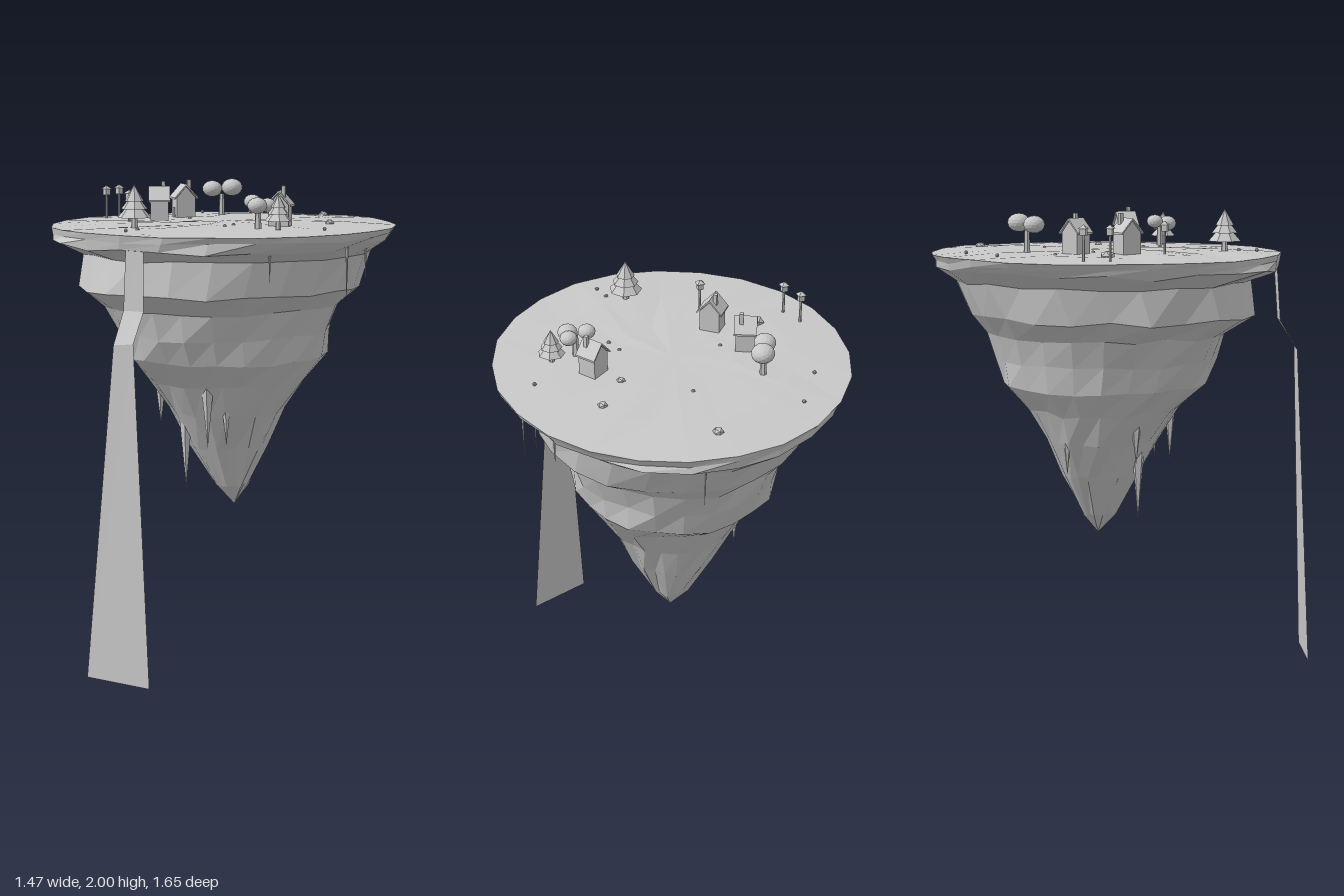
import * as THREE from 'three';

const grey = new THREE.MeshStandardMaterial({ color: 0xc8c8c8 });
grey.name = 'pale grey';
grey.side = THREE.DoubleSide;

// Seeded jitter in -1..1
let seed = 7;
const jitter = () => {
  seed = (seed * 16807) % 2147483647;
  return (seed / 2147483647) * 2 - 1;
};

// Faceted mesh with hard edges
function part(name, geometry, x = 0, y = 0, z = 0) {
  const g = geometry.index ? geometry.toNonIndexed() : geometry;
  g.computeVertexNormals();
  const mesh = new THREE.Mesh(g, grey);
  mesh.name = name;
  mesh.position.set(x, y, z);
  return mesh;
}

function group(name, x, y, z, ...children) {
  const g = new THREE.Group();
  g.name = name;
  g.position.set(x, y, z);
  if (children.length) g.add(...children);
  return g;
}

// Skin through rings of equal point counts, listed from the top down
function skin(rings, closed) {
  const n = rings[0].length, index = [];
  for (let r = 0; r < rings.length - 1; r++)
    for (let i = 0; i < (closed ? n : n - 1); i++) {
      const j = (i + 1) % n, u = r * n, l = u + n;
      index.push(l + i, l + j, u + j, l + i, u + j, u + i);
    }
  const g = new THREE.BufferGeometry();
  g.setAttribute('position', new THREE.Float32BufferAttribute(rings.flat(2), 3));
  g.setIndex(index);
  return g;
}

// Floating rock: y, x radius, z radius, x centre, z centre, radius jitter, height jitter
function island() {
  const levels = [
    [1.826, 0, 0, 0, -0.07, 0, 0],
    [1.826, 0.25, 0.25, 0, -0.07, 0.02, 0.003],
    [1.822, 0.5, 0.52, 0, -0.07, 0.03, 0.004],
    [1.812, 0.733, 0.757, 0, -0.065, 0.004, 0.003],
    [1.785, 0.715, 0.755, 0, -0.062, 0.012, 0.006],
    [1.752, 0.685, 0.755, 0, -0.06, 0.025, 0.013],
    [1.7, 0.585, 0.65, 0, -0.09, 0.02, 0.008],
    [1.555, 0.57, 0.615, 0.005, -0.035, 0.03, 0.01],
    [1.475, 0.485, 0.525, -0.005, -0.065, 0.03, 0.01],
    [1.36, 0.44, 0.485, 0, -0.07, 0.03, 0.008],
    [1.25, 0.43, 0.45, -0.005, -0.075, 0.035, 0.01],
    [1.14, 0.35, 0.325, -0.005, -0.07, 0.04, 0.012],
    [1.0, 0.275, 0.245, -0.01, -0.08, 0.05, 0.012],
    [0.84, 0.185, 0.165, -0.005, -0.09, 0.06, 0.012],
    [0.66, 0.085, 0.075, 0.01, -0.1, 0.06, 0.012],
    [0.56, 0, 0, 0.02, -0.11, 0, 0],
  ];
  const rings = levels.map(([y, rx, rz, cx, cz, jr, jy]) =>
    Array.from({ length: 24 }, (_, i) => {
      const a = (i / 24) * Math.PI * 2, s = 1 + jr * jitter();
      return [cx + Math.sin(a) * rx * s, y + jy * jitter(), cz + Math.cos(a) * rz * s];
    }));
  return part('island', skin(rings, true));
}

// Ribbon of water spilling over the rim
function waterfall() {
  return part('waterfall', skin([
    [[0.195, 1.816, 0.6], [0.27, 1.816, 0.57]],
    [[0.205, 1.8, 0.645], [0.28, 1.8, 0.615]],
    [[0.21, 1.515, 0.665], [0.298, 1.515, 0.633]],
    [[0.235, 1.385, 0.738], [0.32, 1.395, 0.705]],
    [[0.152, 0, 0.828], [0.435, 0, 0.73]],
  ], false));
}

// Downward spike
function spike(name, x, top, tip, z, r) {
  const h = top - tip;
  return part(name, new THREE.ConeGeometry(r, h, 5).rotateX(Math.PI), x, top - h / 2, z);
}

// Gabled cottage, ridge along local x
function house(x, z, turn) {
  const gable = new THREE.Shape([
    [-0.043, 0], [0.043, 0], [0.043, 0.09], [0, 0.138], [-0.043, 0.09],
  ].map(([a, b]) => new THREE.Vector2(a, b)));
  const walls = new THREE.ExtrudeGeometry(gable, { depth: 0.08, bevelEnabled: false });
  walls.translate(0, 0, -0.04).rotateY(Math.PI / 2);
  const roof = new THREE.Shape([
    [-0.054, 0.083], [0, 0.141], [0.054, 0.083], [0.054, 0.091], [0, 0.15], [-0.054, 0.091],
  ].map(([a, b]) => new THREE.Vector2(a, b)));
  const slopes = new THREE.ExtrudeGeometry(roof, { depth: 0.094, bevelEnabled: false });
  slopes.translate(0, 0, -0.047).rotateY(Math.PI / 2);
  const g = group('house', x, 1.822, z,
    part('walls', walls),
    part('roof', slopes),
    part('chimney', new THREE.BoxGeometry(0.016, 0.055, 0.016), 0.018, 0.142, -0.018),
    part('door', new THREE.BoxGeometry(0.022, 0.045, 0.004), 0, 0.024, 0.044));
  g.rotation.y = turn;
  return g;
}

// Pine with three stacked tiers
function pine(x, z, s) {
  const g = group('pine', x, 1.822, z,
    part('trunk', new THREE.CylinderGeometry(0.012, 0.015, 0.06, 6), 0, 0.03, 0));
  [[0.071, 0.08, 0.045], [0.056, 0.07, 0.08], [0.04, 0.068, 0.112]].forEach(([r, h, y]) =>
    g.add(part('foliage', new THREE.ConeGeometry(r, h, 7), 0, y + h / 2, 0)));
  g.scale.setScalar(s);
  return g;
}

// Leafy tree: trunk plus ball crowns [x, y, z, r]
function leafyTree(x, z, crowns) {
  const g = group('leafyTree', 0, 0, 0,
    part('trunk', new THREE.CylinderGeometry(0.011, 0.015, 0.1, 6), x, 1.87, z));
  crowns.forEach(([cx, cy, cz, r]) =>
    g.add(part('crown', new THREE.IcosahedronGeometry(r, 2).scale(1, 0.82, 1), cx, cy, cz)));
  return g;
}

// Lantern on a post
function lamp(x, z) {
  return group('lamp', x, 1.815, z,
    part('post', new THREE.CylinderGeometry(0.005, 0.006, 0.11, 6), 0, 0.055, 0),
    part('lantern', new THREE.BoxGeometry(0.024, 0.028, 0.024), 0, 0.118, 0),
    part('cap', new THREE.ConeGeometry(0.025, 0.016, 4).rotateY(Math.PI / 4), 0, 0.139, 0));
}

export function createModel() {
  seed = 7;
  const model = group('floatingIsland', 0, 0, 0, island(), waterfall());

  // Stalactites and hanging roots
  [[-0.065, 1.02, 0.65, 0.1, 0.035], [-0.26, 1.13, 0.87, -0.16, 0.03],
    [0.17, 1.25, 0.88, 0.18, 0.04], [0.2, 1.1, 0.88, 0.1, 0.025],
    [-0.2, 1.15, 0.92, 0.13, 0.03]].forEach((s) => model.add(spike('stalactite', ...s)));
  [[0.62, 1.76, 1.57, -0.19], [0.66, 1.76, 1.52, -0.15], [0.59, 1.76, 1.62, 0.22],
    [0.1, 1.74, 1.54, -0.73], [0.585, 1.75, 1.6, -0.34]]
    .forEach((s) => model.add(spike('root', ...s, 0.007)));

  // Village
  model.add(house(-0.31, -0.1, -0.42), house(-0.24, 0.1, 0.88), house(0.338, -0.077, -0.96));
  [[-0.61, 0.03], [-0.575, 0.13], [-0.245, 0.265]].forEach((p) => model.add(lamp(...p)));

  // Trees
  model.add(pine(0.025, 0.455, 1), pine(0.472, 0.062, 0.8),
    leafyTree(-0.3, -0.32, [[-0.278, 1.948, -0.363, 0.048], [-0.32, 1.943, -0.28, 0.045]]),
    leafyTree(0.365, 0.075, [[0.32, 1.93, 0.065, 0.036], [0.4, 1.918, 0.055, 0.036],
      [0.39, 1.918, 0.103, 0.041]]));

  // Boulders and pebbles
  [[-0.43, 0.075, 0.033], [0.38, -0.33, 0.021], [0.255, -0.18, 0.019], [0.02, -0.655, 0.023]]
    .forEach(([x, z, r]) => model.add(part('boulder', new THREE.IcosahedronGeometry(r, 0).scale(1, 0.75, 1), x, 1.826, z)));
  [[-0.375, -0.565], [-0.5, -0.378], [-0.405, -0.158], [-0.217, -0.055], [0.01, -0.35],
    [0.588, -0.09], [0.187, 0.05], [0.21, 0.12], [0.1, 0.5], [0.117, 0.575]]
    .forEach(([x, z]) => model.add(part('pebble', new THREE.IcosahedronGeometry(0.009, 0), x, 1.825, z)));

  return model;
}
